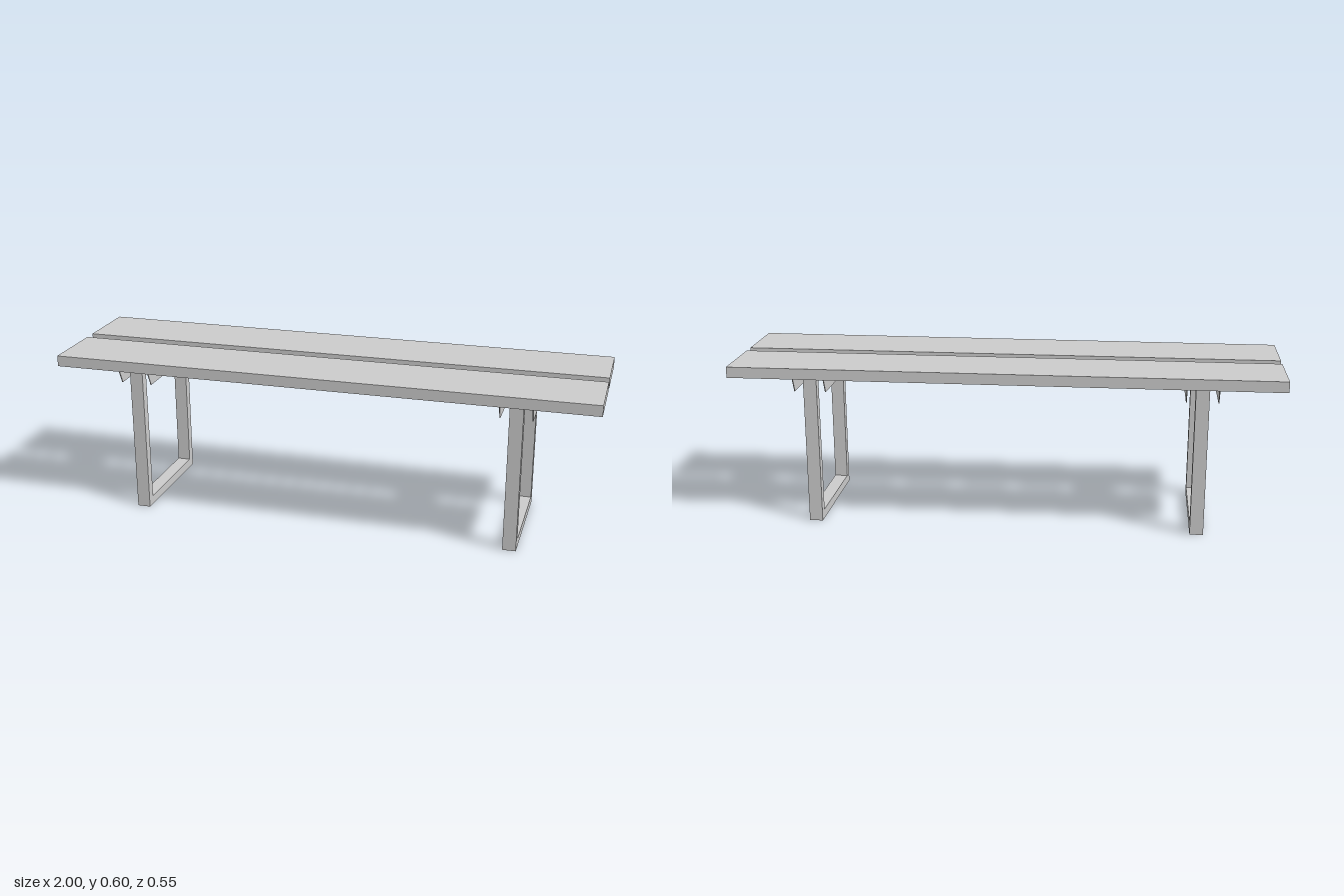
import * as THREE from 'three';

const grey = new THREE.MeshStandardMaterial({ color: 0xcccccc, flatShading: true });

function box(parent, name, w, h, d, x, y, z) {
  const mesh = new THREE.Mesh(new THREE.BoxGeometry(w, h, d), grey);
  mesh.name = name;
  mesh.position.set(x, y, z);
  parent.add(mesh);
  return mesh;
}

// Thin upright plate with slanted ends, lying in the zy plane
function flangeGeometry(t) {
  const shape = new THREE.Shape([
    new THREE.Vector2(-0.222, 0.502), new THREE.Vector2(0.222, 0.502),
    new THREE.Vector2(0.25, 0.56), new THREE.Vector2(-0.25, 0.56),
  ]);
  const geo = new THREE.ExtrudeGeometry(shape, { depth: t, bevelEnabled: false });
  geo.translate(0, 0, -t / 2);
  geo.rotateY(-Math.PI / 2);
  return geo;
}

function createSupport() {
  const support = new THREE.Group();
  const width = 0.049, tube = 0.033, outer = 0.2225, wall = 0.003;
  const barLength = 2 * (outer - tube);

  // Two uprights
  for (const s of [-1, 1]) {
    box(support, 'leg', width, 0.557, tube, 0, 0.2785, s * (outer - tube / 2));
  }

  // Foot rail: a channel open underneath
  const rail = new THREE.Group();
  rail.name = 'footRail';
  box(rail, 'railTop', width, wall, barLength, 0, tube - wall / 2, 0);
  for (const s of [-1, 1]) {
    box(rail, 'railSide', wall, tube - wall, barLength, s * (width - wall) / 2, (tube - wall) / 2, 0);
  }
  support.add(rail);

  // Folded bracket under the seat: top plate with two flanges
  const bracket = new THREE.Group();
  bracket.name = 'seatBracket';
  const t = 0.003, half = 0.0585;
  box(bracket, 'bracketPlate', 2 * half - 2 * t, t, 0.5, 0, 0.56 - t / 2, 0);
  const flange = flangeGeometry(t);
  for (const s of [-1, 1]) {
    const mesh = new THREE.Mesh(flange, grey);
    mesh.name = 'bracketFlange';
    mesh.position.x = s * (half - t / 2);
    bracket.add(mesh);
  }
  support.add(bracket);
  return support;
}

export function createModel() {
  const bench = new THREE.Group();
  bench.name = 'bench';

  // Two seat planks with a gap between them
  box(bench, 'frontPlank', 2, 0.04, 0.25, 0, 0.58, 0.1475);
  box(bench, 'backPlank', 2, 0.04, 0.25, 0, 0.58, -0.1475);

  // A leg frame near each end
  for (const s of [-1, 1]) {
    const support = createSupport();
    support.name = s > 0 ? 'leftSupport' : 'rightSupport';
    support.position.x = s * 0.708;
    bench.add(support);
  }
  return bench;
}
